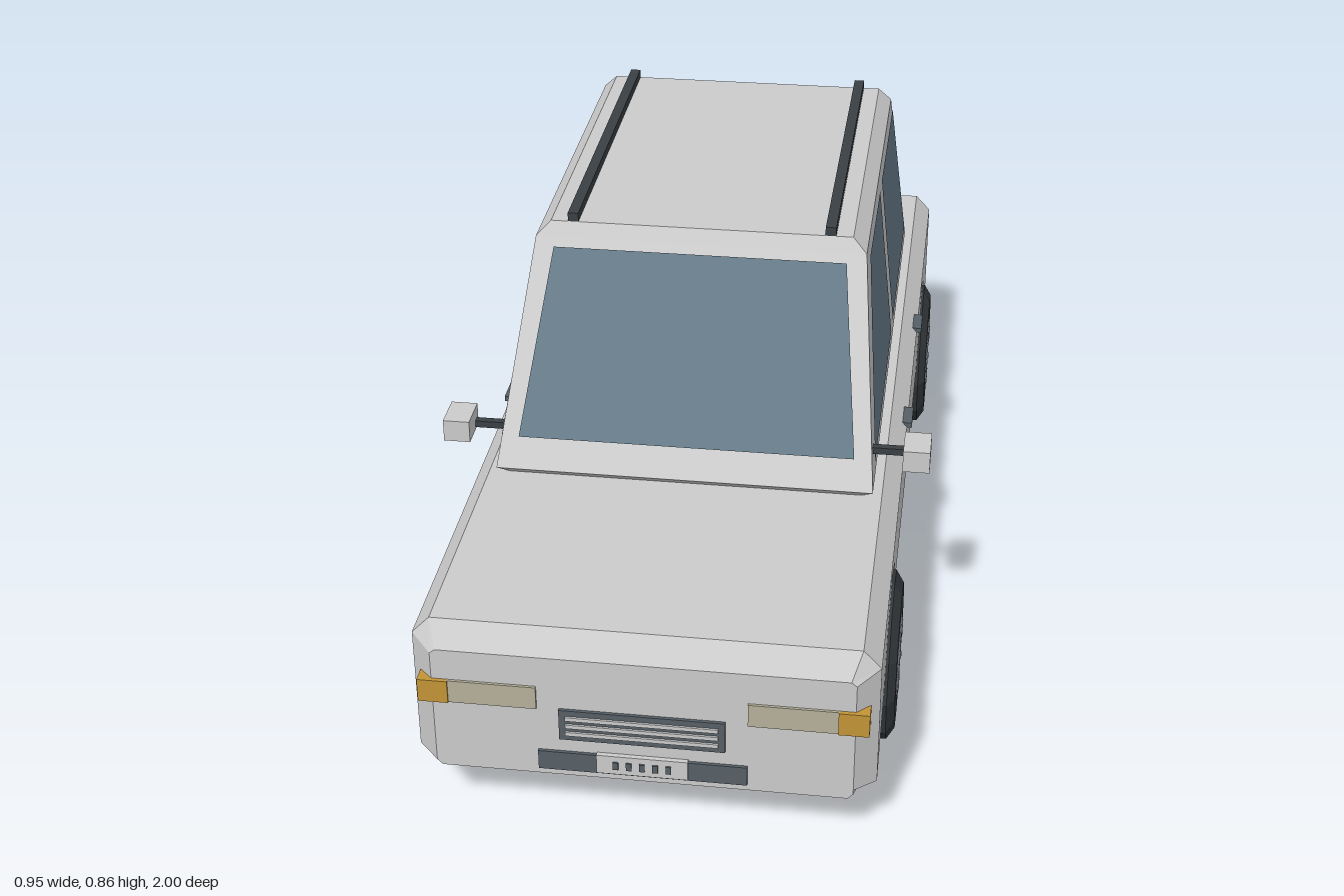
import * as THREE from 'three';

const mat = (color, side = THREE.FrontSide) =>
  new THREE.MeshStandardMaterial({ color, flatShading: true, side });
const grey = mat(0xcccccc);
const dark = mat(0x3a4044);
const trim = mat(0x566067);
const rubber = mat(0x33383b);
const rim = mat(0x9aa2a6);
const glass = mat(0x667b89, THREE.DoubleSide);
const amber = mat(0xc29436);
const red = mat(0x9c4a48);
const lamp = mat(0xb5b09a);

export function createModel() {
  const car = new THREE.Group();
  car.name = 'car';

  const add = (name, geometry, material, parent = car) => {
    const mesh = new THREE.Mesh(geometry, material);
    mesh.name = name;
    parent.add(mesh);
    return mesh;
  };
  // Box given by its limits on each axis
  const box = (name, [x0, x1], [y0, y1], [z0, z1], material, parent) => {
    const g = new THREE.BoxGeometry(x1 - x0, y1 - y0, z1 - z0);
    g.translate((x0 + x1) / 2, (y0 + y1) / 2, (z0 + z1) / 2);
    return add(name, g, material, parent);
  };
  const fromTriangles = (points) => {
    const g = new THREE.BufferGeometry().setFromPoints(points);
    g.computeVertexNormals();
    return g;
  };
  // Skin over a stack of rings, with both ends closed
  const loft = (rings) => {
    const tris = [];
    const n = rings[0].length;
    for (let k = 0; k < rings.length - 1; k++) {
      const a = rings[k], b = rings[k + 1];
      for (let i = 0; i < n; i++) {
        const j = (i + 1) % n;
        tris.push(a[i], a[j], b[j], a[i], b[j], b[i]);
      }
    }
    const s = rings[0], e = rings[rings.length - 1];
    for (let i = 1; i < n - 1; i++) tris.push(s[0], s[i + 1], s[i], e[0], e[i], e[i + 1]);
    return fromTriangles(tris);
  };

  // Body: half cross-sections from floor to top, mirrored and lofted along z
  const section = (z, floor, inner, lower, upper = [0.42, 0.385], top = [0.387, 0.42]) => {
    const half = [floor, inner, lower, upper, top];
    const right = half.map(([x, y]) => new THREE.Vector3(x, y, z));
    const left = half.map(([x, y]) => new THREE.Vector3(-x, y, z)).reverse();
    return [...right, ...left];
  };
  const nose = (z) => section(z, [0.37, 0.12], [0.38, 0.13], [0.38, 0.14], [0.38, 0.37], [0.37, 0.378]);
  const sill = (z) => section(z, [0.39, 0.12], [0.39, 0.17], [0.42, 0.215]);
  const arch = (zc) => [[-0.175, 0.215], [-0.11, 0.305], [0, 0.35], [0.11, 0.305], [0.175, 0.215]]
    .map(([dz, y]) => section(zc + dz, [0.35, 0.12], [0.35, y], [0.42, y]));
  const tuck = (z) => section(z, [0.36, 0.12], [0.385, 0.16], [0.42, 0.212]);
  add('body', loft([
    nose(-0.985),
    section(-0.95, [0.36, 0.12], [0.39, 0.14], [0.42, 0.165]),
    tuck(-0.78),
    ...arch(-0.605),
    sill(-0.43),
    sill(0.435),
    ...arch(0.61),
    tuck(0.785),
    section(0.95, [0.36, 0.12], [0.39, 0.128], [0.42, 0.135]),
    nose(0.988),
  ]), grey);

  // Cabin: rectangular rings stacked upwards
  const ring = (y, x, front, back) => [[x, front], [x, back], [-x, back], [-x, front]]
    .map(([px, pz]) => new THREE.Vector3(px, y, pz));
  add('cabin', loft([
    ring(0.415, 0.34, 0.445, -0.685),
    ring(0.435, 0.37, 0.465, -0.705),
    ring(0.82, 0.328, 0.207, -0.594),
    ring(0.847, 0.3, 0.19, -0.586),
  ]), grey);

  // Windows lie just proud of the sloping cabin walls
  const rise = (y) => (y - 0.435) / 0.385;
  const sideX = (y) => 0.374 - 0.042 * rise(y);
  const frontZ = (y) => 0.47 - 0.258 * rise(y);
  const backZ = (y) => -0.71 + 0.111 * rise(y);
  const pane = (name, corners) => {
    const [a, b, c, d] = corners.map((p) => new THREE.Vector3(...p));
    add(name, fromTriangles([a, b, c, a, c, d]), glass);
  };
  const endPane = (name, zAt, y0, x0, y1, x1) => pane(name, [
    [-x0, y0, zAt(y0)], [x0, y0, zAt(y0)], [x1, y1, zAt(y1)], [-x1, y1, zAt(y1)],
  ]);
  endPane('windscreen', frontZ, 0.49, 0.33, 0.805, 0.29);
  endPane('rearWindow', backZ, 0.54, 0.33, 0.76, 0.285);

  for (const s of [1, -1]) {
    const side = s > 0 ? 'left' : 'right';
    const span = (a, b) => (s > 0 ? [a, b] : [-b, -a]);
    const sidePane = (name, pts) => pane(name, pts.map(([z, y]) => [s * sideX(y), y, z]));
    sidePane(side + 'FrontWindow', [[0.41, 0.475], [-0.125, 0.475], [-0.125, 0.805], [0.18, 0.805]]);
    sidePane(side + 'RearWindow', [[-0.18, 0.475], [-0.65, 0.475], [-0.57, 0.805], [-0.18, 0.805]]);

    box(side + 'RoofRail', span(0.245, 0.266), [0.843, 0.865], [-0.585, 0.19], dark);
    box(side + 'SillTrim', span(0.38, 0.4), [0.163, 0.174], [-0.43, 0.435], dark);
    box(side + 'Mirror', span(0.424, 0.476), [0.48, 0.525], [0.375, 0.45], grey);
    box(side + 'MirrorStem', span(0.355, 0.428), [0.485, 0.499], [0.385, 0.4], dark);
    for (const z of [0.088, -0.33])
      box(side + 'DoorHandle', span(0.41, 0.43), [0.384, 0.395], [z - 0.033, z + 0.033], trim);

    // Lamps
    box(side + 'Headlight', span(0.19, 0.352), [0.268, 0.315], [0.96, 0.993], lamp);
    box(side + 'FrontIndicator', span(0.35, 0.405), [0.268, 0.315], [0.95, 0.996], amber);
    box(side + 'TailLight', span(0.19, 0.352), [0.245, 0.305], [-0.99, -0.96], red);
    box(side + 'RearIndicator', span(0.35, 0.405), [0.245, 0.3], [-0.993, -0.95], amber);
  }

  // Grille with bars, front bumper strip
  box('grille', [-0.15, 0.15], [0.205, 0.27], [0.96, 0.994], trim);
  for (let i = 0; i < 3; i++) {
    const y = 0.221 + i * 0.0165;
    box('grilleBar', [-0.138, 0.138], [y - 0.004, y + 0.004], [0.96, 0.998], grey);
  }
  box('bumperStrip', [-0.19, 0.19], [0.135, 0.175], [0.96, 0.994], trim);

  // Number plates with blank marks
  for (const s of [1, -1]) {
    const depth = (d) => (s > 0 ? [0.95, d] : [-d, -0.95]);
    box('plate', [-0.083, 0.083], [0.138, 0.178], depth(0.997), grey);
    for (let i = -2; i <= 2; i++)
      box('plateMark', [i * 0.024 - 0.005, i * 0.024 + 0.005], [0.15, 0.166], depth(1), trim);
  }

  // Wheels: twelve-sided tyre, flat hub and five slots; axis along x
  const tyreProfile = [[0, -0.04], [0.14, -0.04], [0.163, -0.025], [0.163, 0.025], [0.14, 0.04], [0.088, 0.04], [0.085, 0.03], [0, 0.03]]
    .map(([r, h]) => new THREE.Vector2(r, h));
  for (const [end, z] of [['front', 0.61], ['rear', -0.605]]) {
    for (const s of [1, -1]) {
      const wheel = new THREE.Group();
      wheel.name = end + (s > 0 ? 'Left' : 'Right') + 'Wheel';
      add('tyre', new THREE.LatheGeometry(tyreProfile, 12), rubber, wheel);
      add('hub', new THREE.CylinderGeometry(0.082, 0.086, 0.012, 12).translate(0, 0.034, 0), rim, wheel);
      for (let i = 0; i < 5; i++) {
        const slot = new THREE.CylinderGeometry(0.012, 0.012, 0.004, 3);
        slot.scale(0.7, 1, 1.9).translate(0, 0.041, 0.05).rotateY((i * Math.PI * 2) / 5);
        add('hubSlot', slot, trim, wheel);
      }
      wheel.rotation.z = -s * Math.PI / 2;
      wheel.position.set(s * 0.4, 0.165, z);
      car.add(wheel);
    }
  }
  return car;
}
